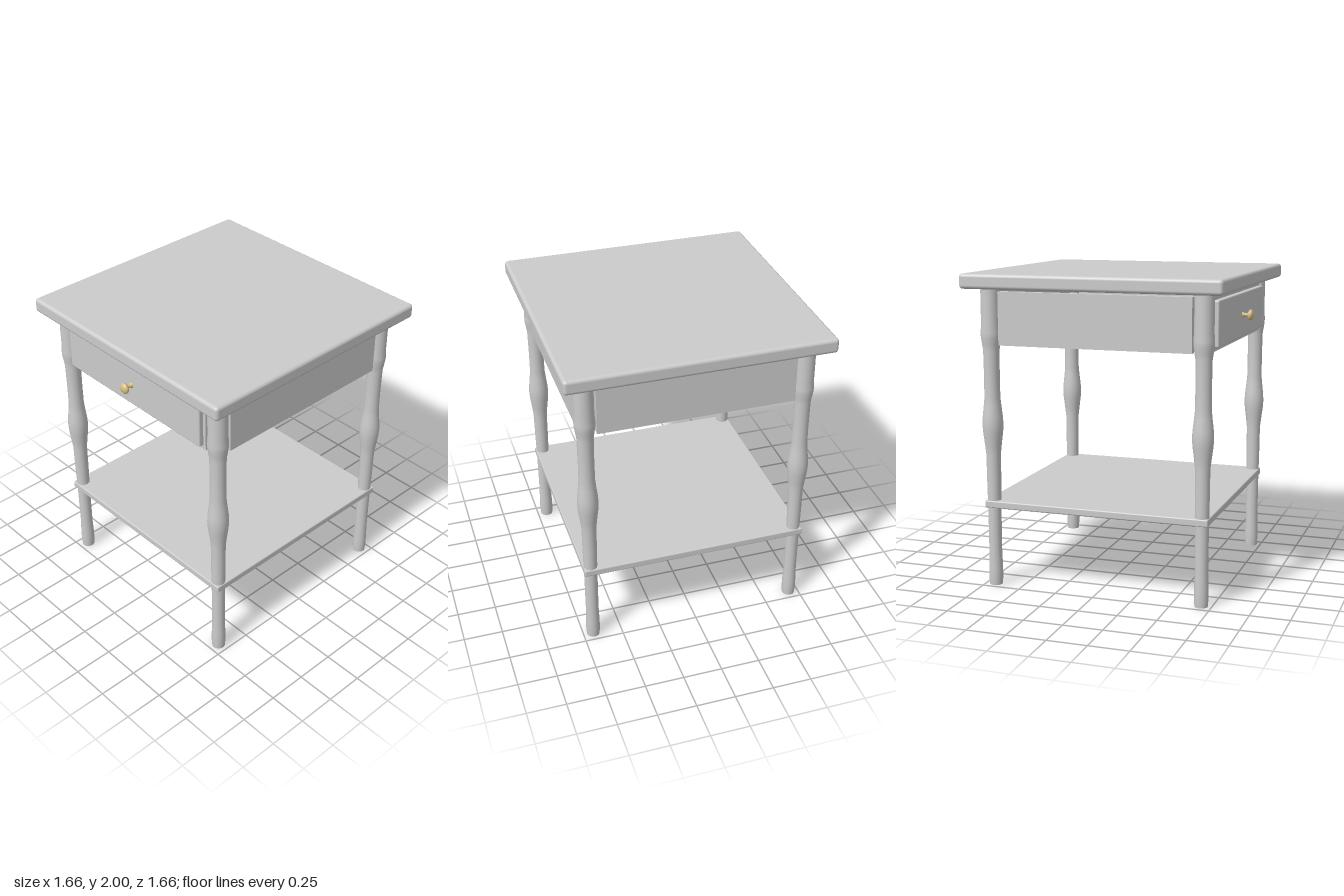
import * as THREE from 'three';
import { RoundedBoxGeometry } from 'three/addons/geometries/RoundedBoxGeometry.js';

const wood = new THREE.MeshStandardMaterial({ color: 0xcccccc });
const brass = new THREE.MeshStandardMaterial({ color: 0xd9bf85 });

function add(parent, name, geometry, x, y, z, material = wood) {
  const mesh = new THREE.Mesh(geometry, material);
  mesh.name = name;
  mesh.position.set(x, y, z);
  parent.add(mesh);
  return mesh;
}

// Profile given as [radius, height] pairs
const lathe = (pairs, sides) =>
  new THREE.LatheGeometry(pairs.map(([r, y]) => new THREE.Vector2(r, y)), sides);

export function createModel() {
  const table = new THREE.Group();
  table.name = 'sideTable';

  // Table top and lower shelf
  add(table, 'tableTop', new RoundedBoxGeometry(1.66, 0.093, 1.66, 4, 0.022), 0, 1.9535, 0);
  add(table, 'shelf', new RoundedBoxGeometry(1.464, 0.046, 1.464, 2, 0.008), 0, 0.537, 0);

  // Turned legs with a long swelling at mid height
  const legGeometry = lathe([
    [0, 0], [0.041, 0], [0.041, 0], [0.045, 0.05], [0.044, 0.12], [0.041, 0.22], [0.042, 0.5],
    [0.045, 0.7], [0.046, 0.86], [0.054, 0.93], [0.063, 1.0], [0.066, 1.05], [0.063, 1.1],
    [0.055, 1.17], [0.05, 1.22], [0.049, 1.35], [0.051, 1.52], [0.057, 1.56], [0.063, 1.6],
    [0.064, 1.63], [0.06, 1.68], [0.06, 1.92],
  ], 28);
  for (const x of [-1, 1]) {
    for (const z of [-1, 1]) {
      add(table, `${z > 0 ? 'front' : 'back'}${x > 0 ? 'Left' : 'Right'}Leg`, legGeometry, x * 0.685, 0, z * 0.685);
    }
  }

  // Four apron boards between the legs
  const apronGeometry = new THREE.BoxGeometry(1.24, 0.332, 0.05);
  ['frontApron', 'leftApron', 'backApron', 'rightApron'].forEach((name, i) => {
    const a = (i * Math.PI) / 2;
    add(table, name, apronGeometry, Math.sin(a) * 0.695, 1.721, Math.cos(a) * 0.695).rotation.y = a;
  });

  // Drawer front with its turned knob
  const drawer = new THREE.Group();
  drawer.name = 'drawer';
  table.add(drawer);
  add(drawer, 'drawerFront', new RoundedBoxGeometry(1.2, 0.282, 0.04, 3, 0.01), 0, 1.721, 0.732);
  const knobGeometry = lathe([
    [0.018, -0.005], [0.018, 0.004], [0.011, 0.012], [0.01, 0.028], [0.016, 0.036],
    [0.032, 0.044], [0.035, 0.052], [0.033, 0.06], [0.022, 0.069], [0, 0.073],
  ], 24);
  add(drawer, 'knob', knobGeometry, 0, 1.721, 0.752, brass).rotation.x = Math.PI / 2;

  return table;
}
